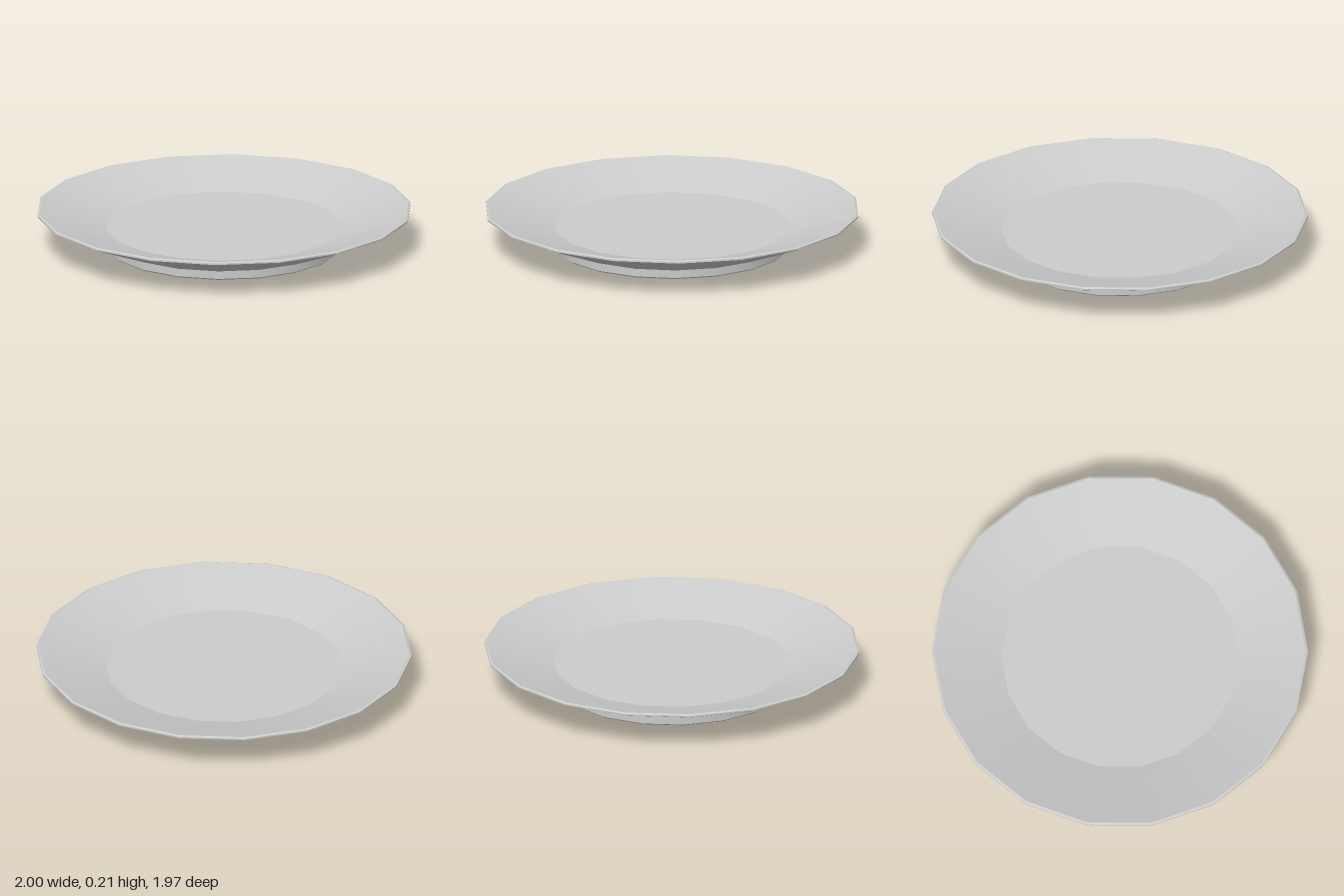
import * as THREE from 'three';
import { mergeGeometries } from 'three/addons/utils/BufferGeometryUtils.js';

const SIDES = 18;
const material = new THREE.MeshStandardMaterial({ color: 0xcccccc });

// Revolved band per profile segment: smooth around the plate, crisp between bands
function bands(profile) {
  const pts = profile.map(([r, y]) => new THREE.Vector2(r, y));
  return pts.slice(1).map((p, i) => new THREE.LatheGeometry([pts[i], p], SIDES, Math.PI / 2));
}

// Flat disc facing up or down
function disc(radius, y, up) {
  return new THREE.CircleGeometry(radius, SIDES)
    .rotateX(up ? -Math.PI / 2 : Math.PI / 2)
    .translate(0, y, 0);
}

export function createModel() {
  const group = new THREE.Group();
  group.name = 'plate';
  const add = (name, geometries) => {
    const mesh = new THREE.Mesh(mergeGeometries(geometries), material);
    mesh.name = name;
    group.add(mesh);
  };

  // Foot ring with chamfered bottom edges, and the recessed underside
  add('footRing', bands([
    [0.525, 0.05], [0.525, 0.008], [0.533, 0], [0.62, 0], [0.63, 0.008], [0.63, 0.05],
  ]));
  add('underside', [disc(0.525, 0.05, false)]);

  // Sloping outside wall, chamfered rim, sloping inside wall
  add('outerWall', bands([[0.63, 0.05], [0.992, 0.193]]));
  add('rim', bands([[0.992, 0.193], [1, 0.197], [1, 0.205], [0.988, 0.21]]));
  add('innerWall', bands([[0.988, 0.21], [0.63, 0.11]]));

  // Flat eating surface
  add('floor', [disc(0.63, 0.11, true)]);
  return group;
}
